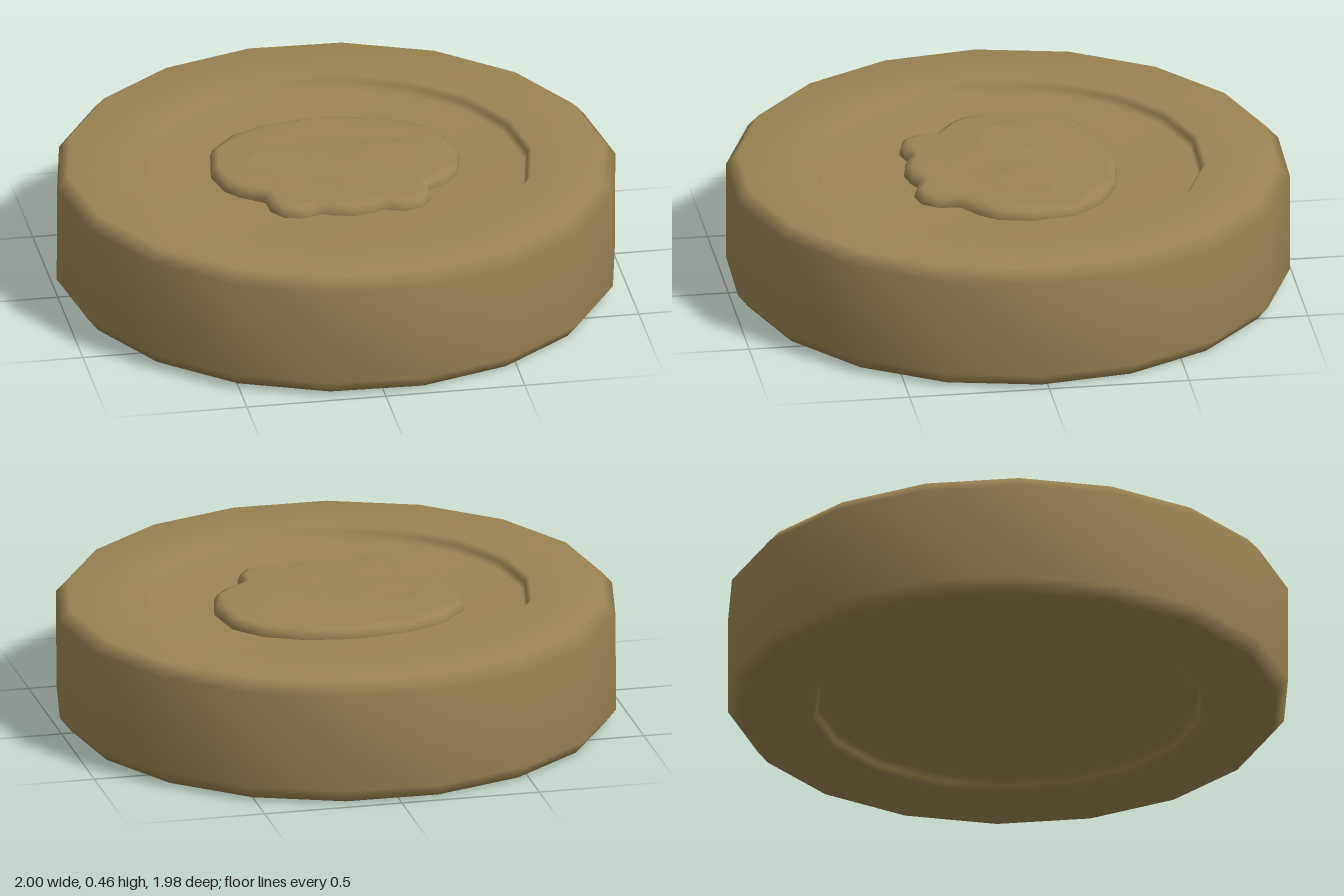
import * as THREE from 'three';
import { mergeVertices } from 'three/addons/utils/BufferGeometryUtils.js';

const DEG = Math.PI / 180;
const FLOOR = 0.405; // height of the recessed face

// Weld the surface and give it area-weighted smooth normals
function soften(geometry) {
  geometry.deleteAttribute('uv');
  geometry.deleteAttribute('normal');
  const welded = mergeVertices(geometry, 1e-4);
  welded.computeVertexNormals();
  return welded;
}

// Points are [x, z] as seen from above; shapes use y = -z
const toVectors = (points) => points.map(([x, z]) => new THREE.Vector2(x, -z));
const mirrored = (half) => [
  ...half,
  ...half.filter(([x]) => x !== 0).reverse().map(([x, z]) => [-x, z]),
];

// Disc with bevelled rim and a shallow recess on both faces
function coinGeometry() {
  const profile = [
    [0, 0.045], [0.675, 0.045], [0.685, 0.02], [0.70, 0],
    [0.96, 0], [1, 0.05], [1, 0.405], [0.96, 0.45],
    [0.70, 0.45], [0.685, 0.43], [0.675, FLOOR], [0, FLOOR],
  ].map(([r, y]) => new THREE.Vector2(r, y));
  return soften(new THREE.LatheGeometry(profile, 18, 8.6 * DEG));
}

// Raised skull with eye and nose openings down to the recessed face
function skullGeometry() {
  const outline = mirrored([
    [0, -0.385], [0.07, -0.38], [0.2, -0.355], [0.33, -0.29], [0.42, -0.185],
    [0.447, -0.02], [0.42, 0.10], [0.37, 0.16], [0.293, 0.215], [0.288, 0.29],
    [0.25, 0.345], [0.185, 0.362], [0.145, 0.35], [0.11, 0.337], [0.07, 0.358], [0, 0.372],
  ]);
  const shape = new THREE.Shape(toVectors(outline));

  for (const side of [-1, 1]) {
    const eye = [];
    for (let i = 0; i < 14; i++) {
      const a = (i / 14) * Math.PI * 2;
      eye.push([side * 0.19 + 0.15 * Math.cos(a), -0.033 + 0.13 * Math.sin(a)]);
    }
    shape.holes.push(new THREE.Path(toVectors(eye)));
  }
  const nose = mirrored([[0, 0.14], [0.035, 0.165], [0.055, 0.2], [0.038, 0.232]]);
  shape.holes.push(new THREE.Path(toVectors(nose)));

  const geometry = new THREE.ExtrudeGeometry(shape, {
    depth: 0.02,
    bevelThickness: 0.03,
    bevelSize: 0.028,
    bevelOffset: -0.028,
    bevelSegments: 2,
  });
  geometry.rotateX(-Math.PI / 2);
  return soften(geometry);
}

export function createModel() {
  const gold = new THREE.MeshStandardMaterial({ color: 0x998452 });
  gold.name = 'old gold';

  const coin = new THREE.Mesh(coinGeometry(), gold);
  coin.name = 'coinBody';

  const skull = new THREE.Mesh(skullGeometry(), gold);
  skull.name = 'skullRelief';
  skull.position.y = FLOOR - 0.01;

  // The coin rests very slightly tilted
  const tilted = new THREE.Group();
  tilted.name = 'coin';
  tilted.add(coin, skull);
  tilted.rotation.set(-0.002, 0, -0.004);
  tilted.position.y = 0.005;

  const model = new THREE.Group();
  model.name = 'skullCoin';
  model.add(tilted);
  return model;
}
